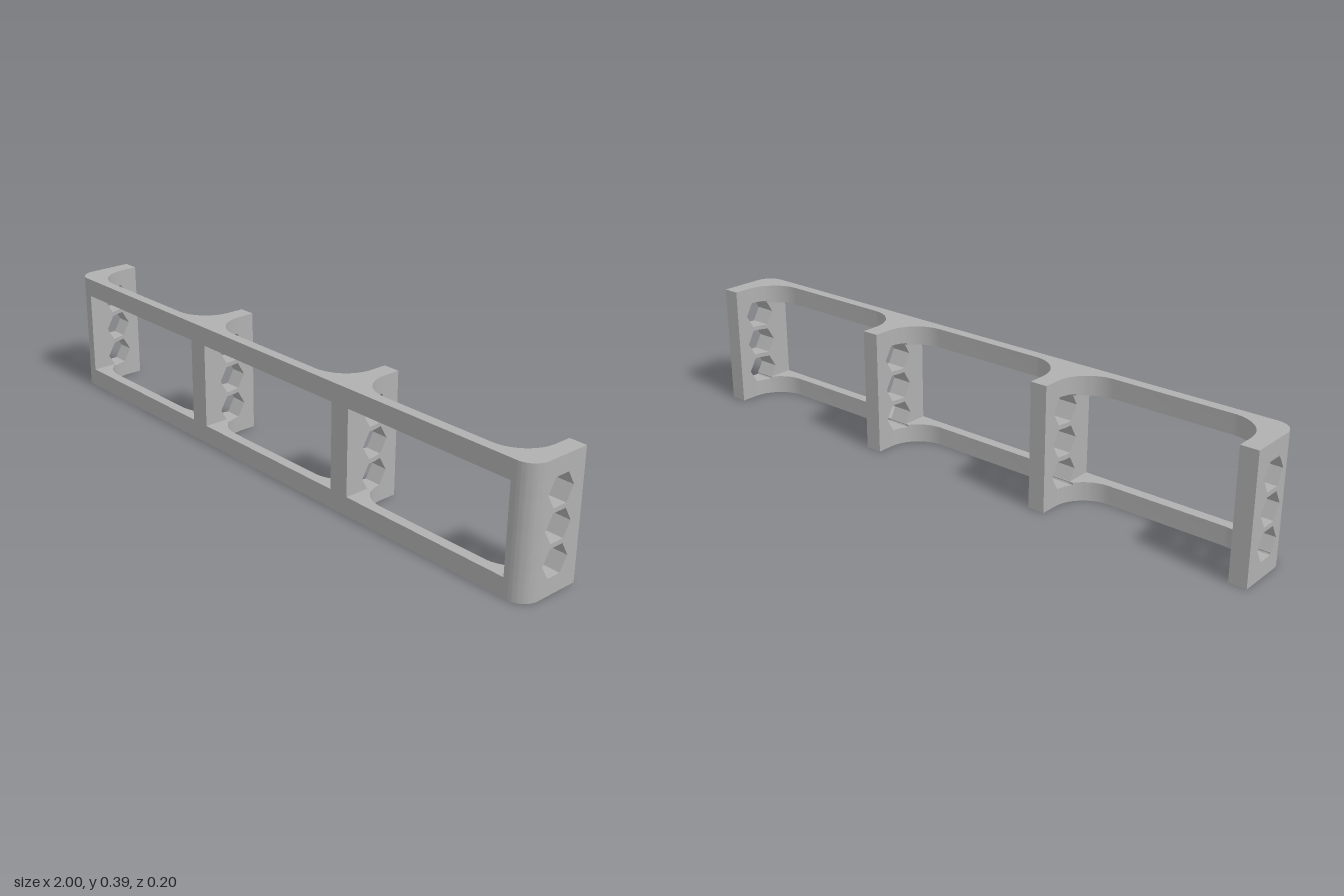
import * as THREE from 'three';
import { toCreasedNormals } from 'three/addons/utils/BufferGeometryUtils.js';

const H = 0.387, BACK = -0.098, FRONT = 0.098, PLATE = 0.065; // overall height and depth
const R = 0.11, FZ = PLATE - R;          // fillet between fin and front plate
const CR = 0.055, CZ = FRONT - CR;       // rounded outer front corner
const FIN = 0.323, FIN_HALF = 0.027, END_IN = 0.946;
const HEX = { z: -0.011, r: 0.049, h: 0.0425, pitch: 0.099 };
const RAIL = H / 2 - HEX.pitch - HEX.h;  // rail height, up to the lowest hole
const LIP = 0.007;                       // remaining rail height, up to the window

const STEPS = Array.from({ length: 17 }, (_, i) => (i / 16) * Math.PI / 2);
const filletZ = STEPS.map(t => FZ + R * Math.sin(t));
const cornerZ = STEPS.map(t => CZ + CR * Math.sin(t));

// How far the fillet widens a fin at depth z
function flare(z) {
  if (z <= FZ) return 0;
  if (z >= PLATE) return R;
  return R - Math.sqrt(R * R - (z - FZ) ** 2);
}

// Outer end face, rounded towards the front
function outerX(z) {
  return z <= CZ ? 1 : 1 - CR + Math.sqrt(Math.max(0, CR * CR - (z - CZ) ** 2));
}

// Half height of a hexagonal hole at depth z
function holeHalf(z) {
  const d = Math.abs(z - HEX.z);
  return Math.max(0, Math.min(HEX.h, (HEX.r - d) / (HEX.r / 2) * HEX.h));
}

// Plan outline with fins reaching back to zEnd, extruded upwards
function railGeometry(zEnd, y, height) {
  const zs = [zEnd, ...filletZ.filter(z => z > zEnd + 1e-4)];
  const down = [...zs].reverse();
  const half = [
    ...down.map(z => [FIN - FIN_HALF - flare(z), z]),
    ...zs.map(z => [FIN + FIN_HALF + flare(z), z]),
    ...down.map(z => [END_IN - flare(z), z]),
    [1, zEnd],
    ...cornerZ.map(z => [outerX(z), z]),
  ];
  const mirrored = half.map(([x, z]) => [-x, z]).reverse();
  const shape = new THREE.Shape([...mirrored, ...half].map(([x, z]) => new THREE.Vector2(x, -z)));
  const g = new THREE.ExtrudeGeometry(shape, { depth: height, bevelEnabled: false });
  g.rotateX(-Math.PI / 2);
  g.translate(0, y, 0);
  return toCreasedNormals(g, 0.5);
}

// Loft of rectangular sections along z; section(z) gives [x0, x1, y0, y1]
function loft(stations, section) {
  const rings = stations.map(z => {
    const [x0, x1, y0, y1] = section(z);
    return [[x0, y0, z], [x1, y0, z], [x1, y1, z], [x0, y1, z]];
  });
  const pos = [];
  const quad = (a, b, c, d) => pos.push(...a, ...b, ...c, ...a, ...c, ...d);
  for (let s = 0; s < rings.length - 1; s++) {
    for (let i = 0; i < 4; i++) {
      const j = (i + 1) % 4;
      quad(rings[s][i], rings[s][j], rings[s + 1][j], rings[s + 1][i]);
    }
  }
  const a = rings[0], b = rings[rings.length - 1];
  quad(a[3], a[2], a[1], a[0]);
  quad(b[0], b[1], b[2], b[3]);
  const g = new THREE.BufferGeometry();
  g.setAttribute('position', new THREE.Float32BufferAttribute(pos, 3));
  return toCreasedNormals(g, 0.5);
}

// Upright post made of four webs that leave three hexagonal holes between them
function makePost(name, xRange, material) {
  const post = new THREE.Group();
  post.name = name;
  const hexZ = [-1, -0.5, 0.5, 1].map(k => HEX.z + k * HEX.r);
  const stations = [...new Set([BACK, ...hexZ, ...filletZ, ...cornerZ])].sort((p, q) => p - q);
  const centre = k => H / 2 + (k - 1) * HEX.pitch;
  for (let k = 0; k < 4; k++) {
    const geometry = loft(stations, z => {
      const low = k === 0 ? RAIL : centre(k - 1) + holeHalf(z);
      const high = k === 3 ? H - RAIL : centre(k) - holeHalf(z);
      return [...xRange(z), low, high];
    });
    const web = new THREE.Mesh(geometry, material);
    web.name = 'postWeb';
    post.add(web);
  }
  return post;
}

export function createModel() {
  const model = new THREE.Group();
  model.name = 'bracketFrame';
  const grey = new THREE.MeshStandardMaterial({ color: 0xb0b0b0 });
  grey.name = 'grey';

  const add = (name, geometry) => {
    const mesh = new THREE.Mesh(geometry, grey);
    mesh.name = name;
    model.add(mesh);
  };

  // Bottom and top rails, with the narrow lips beside the holes
  const lipEnd = HEX.z + HEX.r / 2 + 0.002;
  add('bottomRail', railGeometry(BACK, 0, RAIL));
  add('bottomRailLip', railGeometry(lipEnd, RAIL, LIP));
  add('topRail', railGeometry(BACK, H - RAIL, RAIL));
  add('topRailLip', railGeometry(lipEnd, H - RAIL - LIP, LIP));

  // Mirrored inner and end posts; the window trims their fillets
  for (const side of [1, -1]) {
    const label = side > 0 ? 'left' : 'right';
    const mirror = (a, b) => (side > 0 ? [a, b] : [-b, -a]);
    model.add(makePost(label + 'InnerPost', z => {
      const half = FIN_HALF + Math.min(0.006, flare(z));
      return mirror(FIN - half, FIN + half);
    }, grey));
    model.add(makePost(label + 'EndPost',
      z => mirror(END_IN - Math.min(0.016, flare(z)), outerX(z)), grey));
  }
  return model;
}
